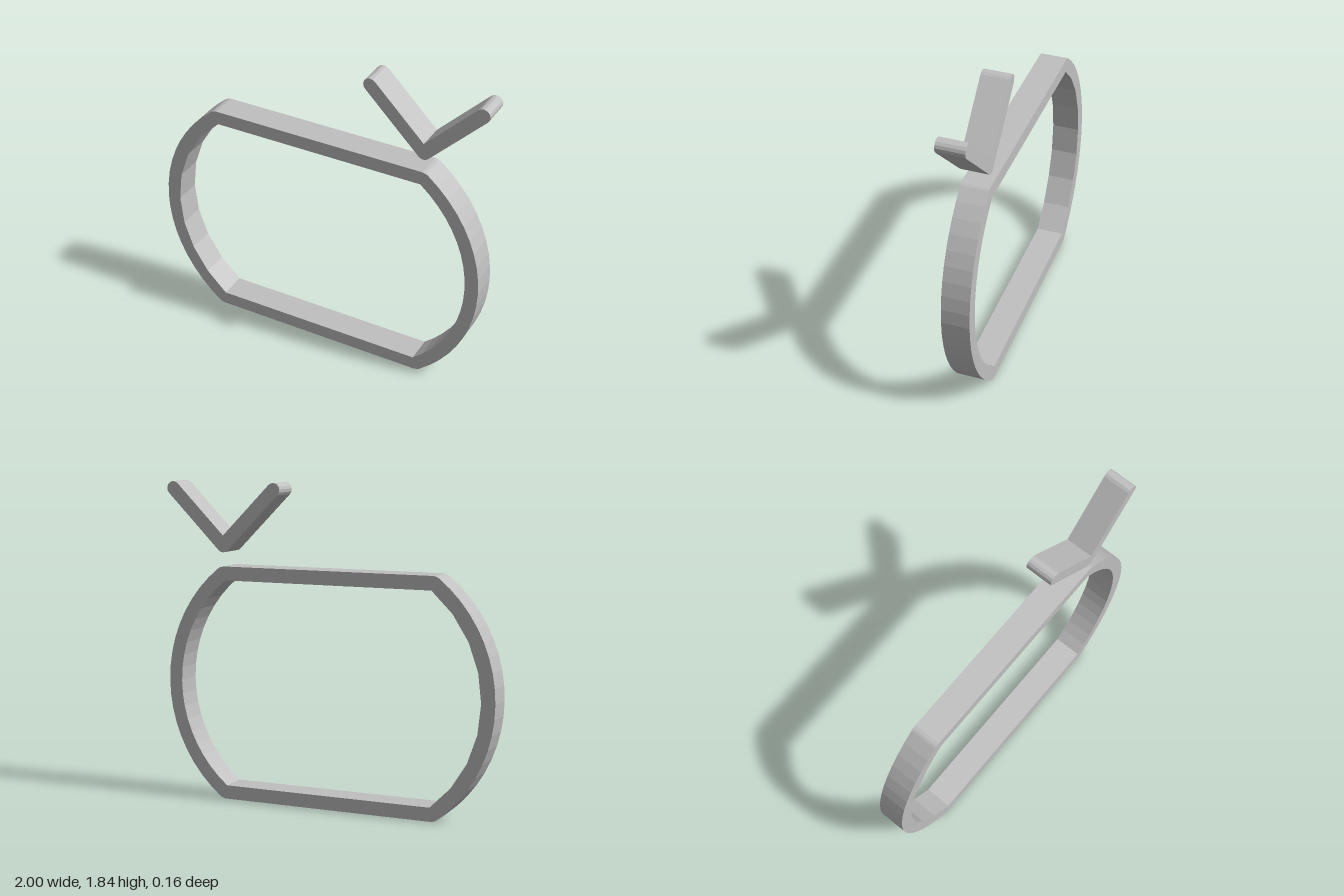
import * as THREE from 'three';

const DEPTH = 0.16;
const MID_Y = 0.68;

// Points on an arc, angles in degrees
function arc(cx, cy, r, from, to, steps) {
  const pts = [];
  for (let i = 0; i <= steps; i++) {
    const a = THREE.MathUtils.degToRad(from + (to - from) * i / steps);
    pts.push(new THREE.Vector2(cx + r * Math.cos(a), cy + r * Math.sin(a)));
  }
  return pts;
}

function extrude(shape, material, name) {
  const geometry = new THREE.ExtrudeGeometry(shape, { depth: DEPTH, bevelEnabled: false });
  geometry.translate(0, 0, -DEPTH / 2);
  const mesh = new THREE.Mesh(geometry, material);
  mesh.name = name;
  return mesh;
}

export function createModel() {
  const group = new THREE.Group();
  group.name = 'framedTick';
  const grey = new THREE.MeshStandardMaterial({ color: 0xc0c0c0, flatShading: true });
  grey.name = 'light grey';

  // Frame: flat top and bottom, bowed sides, softened outer corners
  const cx = 0.155;
  const v = (x, y) => new THREE.Vector2(x, y);
  const outer = [
    v(0.64, 0), v(0.66, 0.005),
    ...arc(cx, MID_Y, 0.845, -52.3, 52.3, 18),
    v(0.66, 1.355), v(0.64, 1.36),
    v(-0.64, 1.36), v(-0.66, 1.355),
    ...arc(-cx, MID_Y, 0.845, 127.7, 232.3, 18),
    v(-0.66, 0.005), v(-0.64, 0),
  ];
  const inner = [
    ...arc(cx, MID_Y, 0.765, -51.7, 51.7, 18),
    ...arc(-cx, MID_Y, 0.765, 128.3, 231.7, 8),
  ];
  const frameShape = new THREE.Shape(outer);
  frameShape.holes.push(new THREE.Path(inner));
  group.add(extrude(frameShape, grey, 'frame'));

  // Chevron: two round-ended strokes meeting above the frame's upper corner
  const r = 0.04;
  const chevron = new THREE.Shape([
    ...arc(0.64, 1.48, r, 225, 315, 4),
    ...arc(0.96, 1.80, r, -45, 135, 7),
    v(0.64, 1.48 + r * Math.SQRT2),
    ...arc(0.32, 1.80, r, 45, 225, 7),
  ]);
  group.add(extrude(chevron, grey, 'chevron'));

  return group;
}
